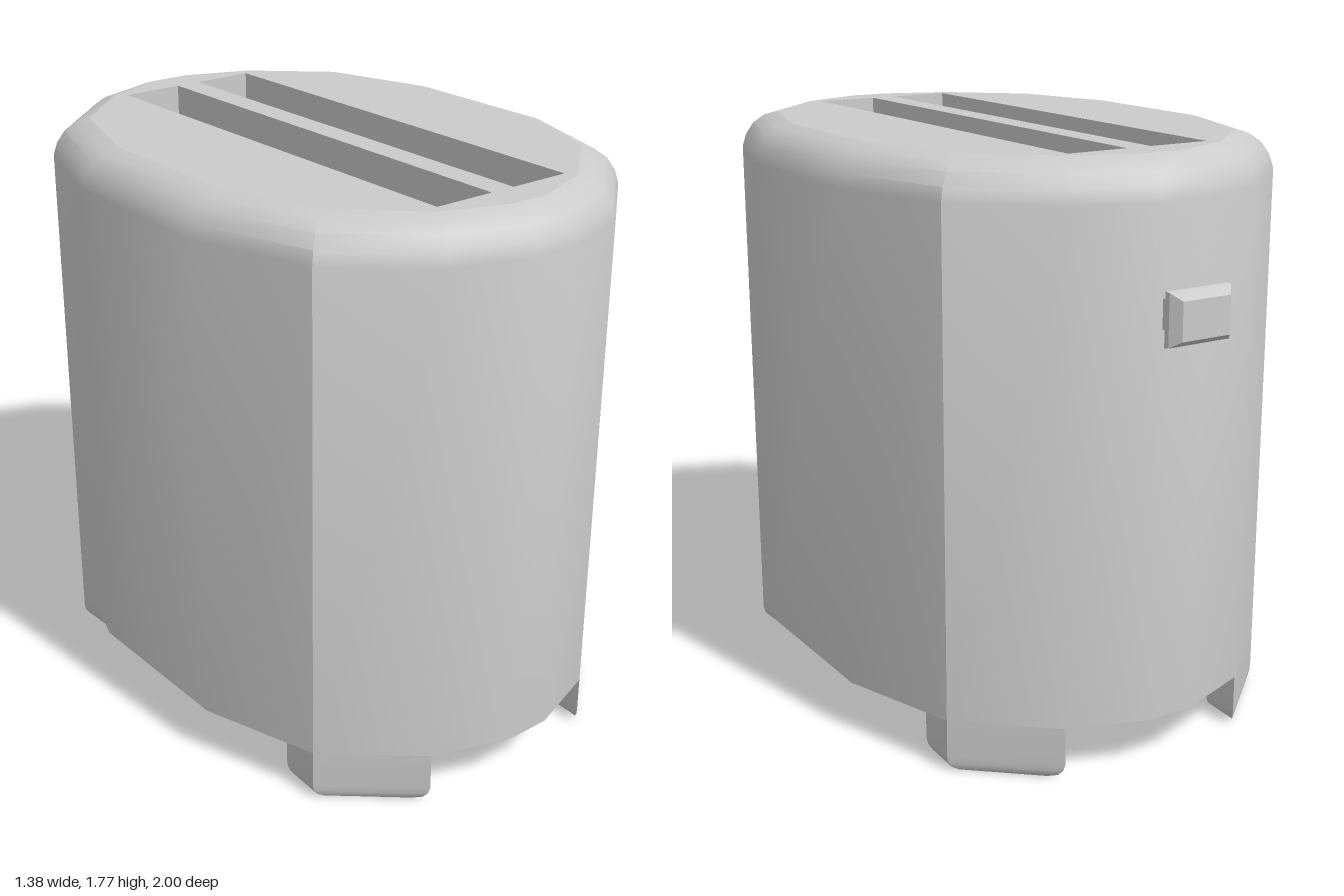
import * as THREE from 'three';
import { toCreasedNormals } from 'three/addons/utils/BufferGeometryUtils.js';

const grey = new THREE.MeshStandardMaterial({ color: 0xcccccc });
const CENTRE_Z = 0.05, BASE = 0.16, TOP = 1.775, SLOT_FLOOR = 0.5;

// Skin between rings of [x, z] points, each at its own height; rings run
// anticlockwise seen from above.
function loft(rings, capStart, capEnd) {
  const pos = [];
  const n = rings[0].pts.length;
  const put = (r, k) => pos.push(r.pts[k % n][0], r.y, r.pts[k % n][1]);
  for (let i = 0; i < rings.length - 1; i++) {
    const a = rings[i], b = rings[i + 1];
    for (let k = 0; k < n; k++) {
      put(a, k); put(a, k + 1); put(b, k + 1);
      put(a, k); put(b, k + 1); put(b, k);
    }
  }
  const first = rings[0], last = rings[rings.length - 1];
  for (let k = 1; k < n - 1; k++) {
    if (capStart) { put(first, 0); put(first, k + 1); put(first, k); }
    if (capEnd) { put(last, 0); put(last, k); put(last, k + 1); }
  }
  const g = new THREE.BufferGeometry();
  g.setAttribute('position', new THREE.Float32BufferAttribute(pos, 3));
  return toCreasedNormals(g, 0.5);
}

function addMesh(parent, name, geometry, material = grey) {
  const m = new THREE.Mesh(geometry, material);
  m.name = name;
  parent.add(m);
  return m;
}

// Faceted oval outline, mirrored from its front-right quarter
const quarter = [[0.07, 0.948], [0.31, 0.865], [0.57, 0.64], [0.69, 0.275]];
const rightHalf = [...quarter, ...quarter.map(([x, z]) => [x, -z]).reverse()];
const outline = [...rightHalf, ...rightHalf.map(([x, z]) => [-x, z]).reverse()];
const inset = d => outline.map(([x, z]) => [x * (1 - d / 0.69), z * (1 - d / 0.95)]);
const rect = (w, h) => [[w, h], [w, -h], [-w, -h], [-w, h]];

export function createModel() {
  const model = new THREE.Group();
  model.name = 'toaster';
  const body = new THREE.Group();
  body.name = 'body';
  body.position.z = CENTRE_Z;
  model.add(body);

  // Shell with rounded shoulder
  const profile = [[0, BASE], [0, 1.66], [0.012, 1.7], [0.036, 1.737], [0.07, 1.762], [0.11, TOP]];
  addMesh(body, 'shell', loft(profile.map(([d, y]) => ({ pts: inset(d), y })), true, false));

  // Top plate with two bread slots
  const slotW = 0.195, slotL = 1.47, slotX = 0.1375;
  const plate = new THREE.Shape(inset(0.11).map(([x, z]) => new THREE.Vector2(x, -z)));
  for (const s of [-1, 1]) {
    plate.holes.push(new THREE.Path(
      rect(slotW / 2, slotL / 2).map(([x, z]) => new THREE.Vector2(s * slotX + x, z))));
  }
  addMesh(body, 'topPlate', new THREE.ShapeGeometry(plate).rotateX(-Math.PI / 2));
  body.getObjectByName('topPlate').position.y = TOP;

  // Slot walls and floors, facing inwards
  for (const s of [-1, 1]) {
    const pts = rect(slotW / 2, slotL / 2).reverse();
    const slot = addMesh(body, s > 0 ? 'leftSlot' : 'rightSlot',
      loft([{ pts, y: SLOT_FLOOR }, { pts, y: TOP }], true, false));
    slot.position.x = s * slotX;
  }

  // Four feet flush with the diagonal facets, rounded at the bottom
  const foot = [[0.31, 0.865], [0.57, 0.64], [0.565, 0.51], [0.315, 0.73]];
  const cx = 0.44, cz = 0.687;
  for (const sx of [-1, 1]) for (const sz of [-1, 1]) {
    const ring = (k, y) => {
      const pts = foot.map(([x, z]) => [sx * (cx + (x - cx) * k), sz * (cz + (z - cz) * k)]);
      return { pts: sx * sz < 0 ? pts.reverse() : pts, y };
    };
    const name = (sz > 0 ? 'front' : 'back') + (sx > 0 ? 'Left' : 'Right') + 'Foot';
    addMesh(body, name,
      loft([ring(0.75, 0), ring(0.9, 0.01), ring(0.97, 0.025), ring(1, 0.045), ring(1, BASE)], true, true));
  }

  // Lever on the back: stem and bevelled knob
  const lever = new THREE.Group();
  lever.name = 'lever';
  lever.position.y = 1.36;
  lever.rotation.x = -Math.PI / 2;
  model.add(lever);
  const section = ([w, h, y]) => ({ pts: rect(w, h), y });
  addMesh(lever, 'leverStem', loft([[0.068, 0.043, 0.87], [0.068, 0.043, 0.95]].map(section), false, false));
  addMesh(lever, 'leverKnob', loft(
    [[0.085, 0.07, 0.94], [0.105, 0.077, 0.955], [0.103, 0.075, 0.97], [0.08, 0.055, 1]].map(section), true, true));

  return model;
}
